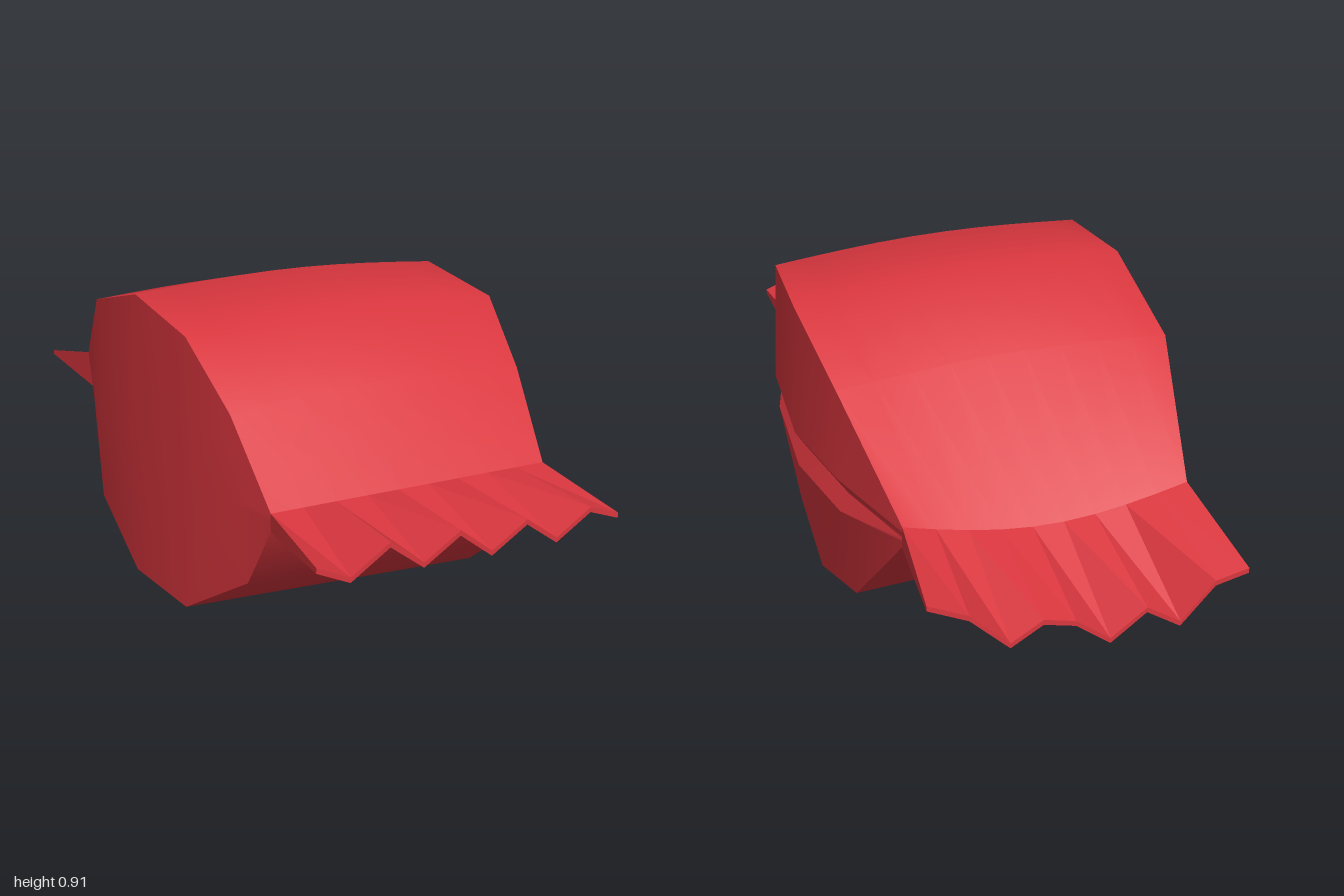
import * as THREE from 'three';
import { mergeGeometries } from 'three/addons/utils/BufferGeometryUtils.js';

// Long edges of the bag, each running from the front seal to the back seal
const topLeft = [[-.465, .56, .635], [-.468, .75, .46], [-.47, .885, .25], [-.44, .9, -.08], [-.4, .785, -.42], [-.31, .51, -.71]];
const topRight = [[.32, .525, .72], [.375, .72, .54], [.45, .85, .33], [.497, .86, 0], [.49, .75, -.32], [.44, .52, -.635]];
const lowLeft = [[-.465, .51, .635], [-.467, .32, .53], [-.505, .13, .27], [-.485, .08, -.06], [-.43, .165, -.39], [-.31, .4, -.69]];
const lowRight = [[.32, .455, .73], [.317, .27, .62], [.41, .04, .36], [.45, 0, .03], [.46, .13, -.32], [.44, .46, -.63]];

// Folded gusset on the right-hand end
const foldUpper = [[.32, .51, .72], [.4, .5, .54], [.465, .485, .36], [.515, .48, 0], [.5, .5, -.32], [.44, .505, -.635]];
const foldValley = [[.32, .49, .72], [.37, .455, .54], [.43, .43, .36], [.485, .43, 0], [.47, .45, -.32], [.44, .49, -.635]];
const foldLower = [[.32, .47, .72], [.38, .41, .58], [.46, .38, .36], [.51, .375, 0], [.495, .4, -.32], [.44, .48, -.635]];

// Zigzag outlines of the crimped edges: x, y pairs from one end to the other
const frontZigzag = [[-.515, .55], [-.43, .505], [-.33, .57], [-.24, .495], [-.145, .555], [-.055, .48], [.04, .54], [.13, .47], [.225, .53], [.31, .495]];
const backZigzag = [[-.31, .42], [-.225, .4], [-.14, .3], [-.05, .36], [.04, .29], [.13, .36], [.21, .38], [.29, .33], [.39, .43], [.49, .48]];

const COLUMNS = 9;
const mix = (a, b, t) => a.map((v, k) => v + (b[k] - v) * t);

// Surface through rows of points
function grid(rows, flat = false) {
  const n = rows[0].length;
  const index = [];
  for (let i = 0; i < rows.length - 1; i++) {
    for (let j = 0; j < n - 1; j++) {
      const a = i * n + j, b = a + 1, c = a + n, d = c + 1;
      index.push(a, b, c, b, d, c);
    }
  }
  let geometry = new THREE.BufferGeometry();
  geometry.setAttribute('position', new THREE.Float32BufferAttribute(rows.flat(2), 3));
  geometry.setIndex(index);
  if (flat) geometry = geometry.toNonIndexed();
  geometry.computeVertexNormals();
  return geometry;
}

// Sheet spanning two long edges, with a bulge and a sag at the back seal
function sheetRows(left, right, bulge) {
  return left.map((p, i) => Array.from({ length: COLUMNS + 1 }, (_, j) => {
    const t = j / COLUMNS;
    const q = mix(p, right[i], t);
    const lift = i === 0 ? 0 : i === left.length - 1 ? -.06 : bulge;
    q[1] += lift * Math.sin(Math.PI * t);
    return q;
  }));
}

// Thin crimped strip between a body seam and a zigzag outer edge
function crimp(topSeam, lowSeam, zigzag, zLeft, zRight, front) {
  const edge = offset => zigzag.map(([x, y], j) =>
    [x, y + offset, zLeft + (zRight - zLeft) * j / COLUMNS]);
  const upper = edge(.007), lower = edge(-.007);
  const ring = (top, low) => [...top, ...[...low].reverse(), top[0]];
  const outer = ring(upper, lower), inner = ring(topSeam, lowSeam);
  return mergeGeometries([
    grid(front ? [outer, inner] : [inner, outer], true),
    grid(front ? [lower, upper] : [upper, lower], true),
  ]);
}

export function createModel() {
  const group = new THREE.Group();
  group.name = 'sealedBag';
  const red = new THREE.MeshStandardMaterial({ color: 0xd9363e, side: THREE.DoubleSide });
  red.name = 'wrapperRed';
  const add = (name, geometry) => {
    const mesh = new THREE.Mesh(geometry, red);
    mesh.name = name;
    group.add(mesh);
  };

  // Puffed body
  const top = sheetRows(topLeft, topRight, .025);
  const low = sheetRows(lowLeft, lowRight, 0);
  add('topSheet', grid(top));
  add('bottomSheet', grid(low.map(row => [...row].reverse())));

  // Flat end panel with a slight outward swell
  add('flatEnd', grid(lowLeft.map((p, i) => {
    const middle = mix(p, topLeft[i], .5);
    if (i > 0 && i < lowLeft.length - 1) middle[0] -= .012;
    return [p, middle, topLeft[i]];
  })));

  // Folded end: panels above and below, and the two faces of the crease
  const strips = { foldedEndTop: [topRight, foldUpper], creaseTop: [foldUpper, foldValley],
    creaseBottom: [foldValley, foldLower], foldedEndBottom: [foldLower, lowRight] };
  for (const [name, [a, b]] of Object.entries(strips)) {
    add(name, grid(a.map((p, i) => [p, b[i]])));
  }

  // Crimped seals
  add('frontSeal', crimp(top[0], low[0], frontZigzag, .9, 1, true));
  add('backSeal', crimp(top.at(-1), low.at(-1), backZigzag, -1, -.91, false));
  return group;
}
